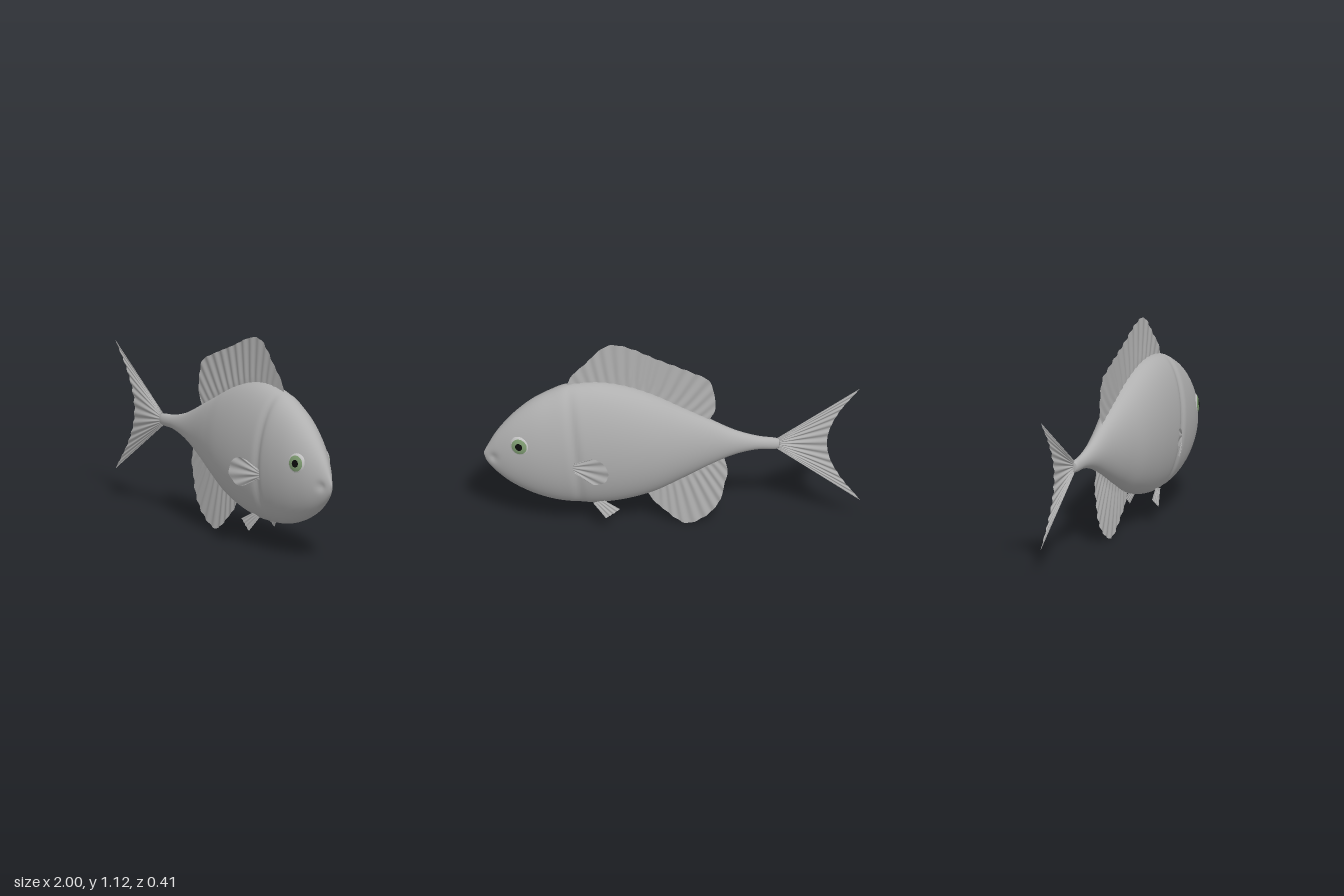
import * as THREE from 'three';

const skin = new THREE.MeshStandardMaterial({ name: 'skin', color: 0xb0b0b0 });
const finSkin = new THREE.MeshStandardMaterial({ name: 'finSkin', color: 0xb0b0b0, side: THREE.DoubleSide });
const eyeWhite = new THREE.MeshStandardMaterial({ name: 'eyeWhite', color: 0xc4c4c4 });
const irisGreen = new THREE.MeshStandardMaterial({ name: 'irisGreen', color: 0x7f9c72 });
const pupilBlack = new THREE.MeshStandardMaterial({ name: 'pupilBlack', color: 0x0a0a0a });

// Body stations: x, top, bottom, half width
const STATIONS = [
  [-0.57, 0.535, 0.485, 0.018], [-0.545, 0.543, 0.477, 0.024], [-0.45, 0.555, 0.475, 0.03],
  [-0.33, 0.592, 0.443, 0.044], [-0.2, 0.657, 0.38, 0.068], [-0.04, 0.74, 0.29, 0.108],
  [0.1, 0.812, 0.217, 0.14], [0.25, 0.866, 0.17, 0.156], [0.4, 0.888, 0.149, 0.158],
  [0.55, 0.872, 0.155, 0.151], [0.65, 0.83, 0.174, 0.142], [0.75, 0.77, 0.21, 0.123],
  [0.85, 0.68, 0.265, 0.09], [0.93, 0.58, 0.33, 0.05], [0.98, 0.49, 0.388, 0.018],
  [0.998, 0.452, 0.43, 0.004],
];

const bump = (d, width) => Math.exp(-((d / width) ** 2));

function grid(rows, cols, wrap, point) {
  const pos = [], idx = [];
  const n = wrap ? cols : cols + 1;
  for (let i = 0; i <= rows; i++) for (let j = 0; j < n; j++) pos.push(...point(i / rows, j / cols));
  for (let i = 0; i < rows; i++) for (let j = 0; j < cols; j++) {
    const k = (j + 1) % n, a = i * n + j, b = i * n + k, c = a + n, d = b + n;
    idx.push(a, b, c, b, d, c);
  }
  const g = new THREE.BufferGeometry();
  g.setAttribute('position', new THREE.Float32BufferAttribute(pos, 3));
  return { g, pos, idx };
}

function finish({ g, idx }) {
  g.setIndex(idx);
  g.computeVertexNormals();
  return g;
}

// Lofted elliptical body with a gill groove and small mouth dimples
function bodyGeometry() {
  const outline = new THREE.CatmullRomCurve3(STATIONS.map(s => new THREE.Vector3(s[0], s[1], s[2])), false, 'catmullrom');
  const width = new THREE.CatmullRomCurve3(STATIONS.map(s => new THREE.Vector3(s[0], s[3], 0)), false, 'catmullrom');
  const rows = 150, cols = 56;
  const mesh = grid(rows, cols, true, (u, v) => {
    const o = outline.getPoint(u), w = width.getPoint(u).y, a = v * Math.PI * 2;
    const y = (o.y + o.z) / 2 + (o.y - o.z) / 2 * Math.cos(a);
    const gill = 0.09 * bump(o.x - 0.515 - 0.035 * Math.cos(a), 0.024);
    const mouth = 0.3 * bump(o.x - 0.95, 0.022) * bump(y - 0.435, 0.025);
    return [o.x, y, w * Math.sin(a) * (1 - gill - mouth)];
  });
  // close both ends
  const tail = mesh.pos.length / 3, last = rows * cols;
  mesh.pos.push(-0.574, 0.51, 0, 1.0, 0.441, 0);
  for (let j = 0; j < cols; j++) {
    const k = (j + 1) % cols;
    mesh.idx.push(tail, k, j, tail + 1, last + j, last + k);
  }
  mesh.g.setAttribute('position', new THREE.Float32BufferAttribute(mesh.pos, 3));
  return finish(mesh);
}

// Thin rippled fin stretched between a root curve and an outer edge curve
function makeFin(name, root, edge, rays, ripple) {
  const curve = pts => new THREE.CatmullRomCurve3(pts.map(p => new THREE.Vector3(p[0], p[1], p[2] || 0)));
  const a = curve(root), b = curve(edge);
  const geo = finish(grid(rays * 8, 8, false, (u, v) => {
    const p = a.getPointAt(u).lerp(b.getPointAt(u), v);
    const fade = Math.min(1, 4 * v) * Math.sin(Math.PI * u) ** 0.5;
    return [p.x, p.y, p.z + ripple * fade * Math.sin(u * rays * Math.PI * 2)];
  }));
  const fin = new THREE.Mesh(geo, finSkin);
  fin.name = name;
  return fin;
}

function makeEye(side) {
  const eye = new THREE.Group();
  eye.name = side > 0 ? 'leftEye' : 'rightEye';
  // each layer is a cap of a slightly larger ball
  const layers = [
    ['eyeball', 0.061, Math.PI, eyeWhite],
    ['iris', 0.0625, 0.76, irisGreen],
    ['pupil', 0.064, 0.32, pupilBlack],
  ];
  for (const [name, r, theta, mat] of layers) {
    const cap = new THREE.SphereGeometry(r, 32, 20, 0, Math.PI * 2, 0, theta).rotateX(Math.PI / 2);
    const m = new THREE.Mesh(cap, mat);
    m.name = name;
    eye.add(m);
  }
  eye.scale.z = 0.45;
  eye.position.set(0.805, 0.543, 0.085 * side);
  const out = new THREE.Vector3(0.33, 0.08, 0.94 * side).normalize();
  eye.lookAt(eye.position.clone().add(out));
  return eye;
}

export function createModel() {
  const fish = new THREE.Group();
  fish.name = 'fish';

  const body = new THREE.Mesh(bodyGeometry(), skin);
  body.name = 'body';
  fish.add(body);

  // Fins on the centre line
  fish.add(makeFin('dorsalFin',
    [[-0.2, 0.63], [0, 0.73], [0.25, 0.83], [0.53, 0.85]],
    [[-0.2, 0.655], [-0.23, 0.72], [-0.222, 0.83], [-0.195, 0.903], [-0.12, 0.945], [0.09, 1.038], [0.22, 1.1],
      [0.31, 1.122], [0.365, 1.105], [0.465, 1.0], [0.535, 0.925], [0.56, 0.865]], 16, 0.004));
  fish.add(makeFin('analFin',
    [[-0.27, 0.43], [-0.1, 0.35], [0.13, 0.23]],
    [[-0.28, 0.41], [-0.296, 0.33], [-0.28, 0.257], [-0.257, 0.155], [-0.19, 0.06], [-0.085, 0.005],
      [-0.03, 0.028], [0.04, 0.09], [0.1, 0.15], [0.135, 0.215]], 12, 0.004));
  fish.add(makeFin('tailFin',
    [[-0.555, 0.54], [-0.555, 0.51], [-0.555, 0.478]],
    [[-1, 0.857], [-0.89, 0.71], [-0.835, 0.59], [-0.824, 0.51], [-0.838, 0.42], [-0.89, 0.31], [-1, 0.155]], 14, 0.004));

  // Paired parts
  for (const s of [1, -1]) {
    const side = s > 0 ? 'left' : 'right';
    const pec = ([x, y]) => [x, y, s * (0.14 + (0.53 - x) * 0.33)];
    fish.add(makeFin(side + 'PectoralFin',
      [[0.53, 0.46], [0.53, 0.435], [0.53, 0.41]].map(pec),
      [[0.5, 0.475], [0.415, 0.512], [0.37, 0.5], [0.337, 0.445], [0.352, 0.385], [0.41, 0.356], [0.5, 0.4]].map(pec), 6, 0.004));
    fish.add(makeFin(side + 'PelvicFin',
      [[0.36, 0.185, 0.062 * s], [0.42, 0.17, 0.062 * s]],
      [[0.275, 0.14, 0.078 * s], [0.312, 0.112, 0.081 * s], [0.35, 0.085, 0.083 * s]], 4, 0.002));
    fish.add(makeEye(s));
  }
  return fish;
}
